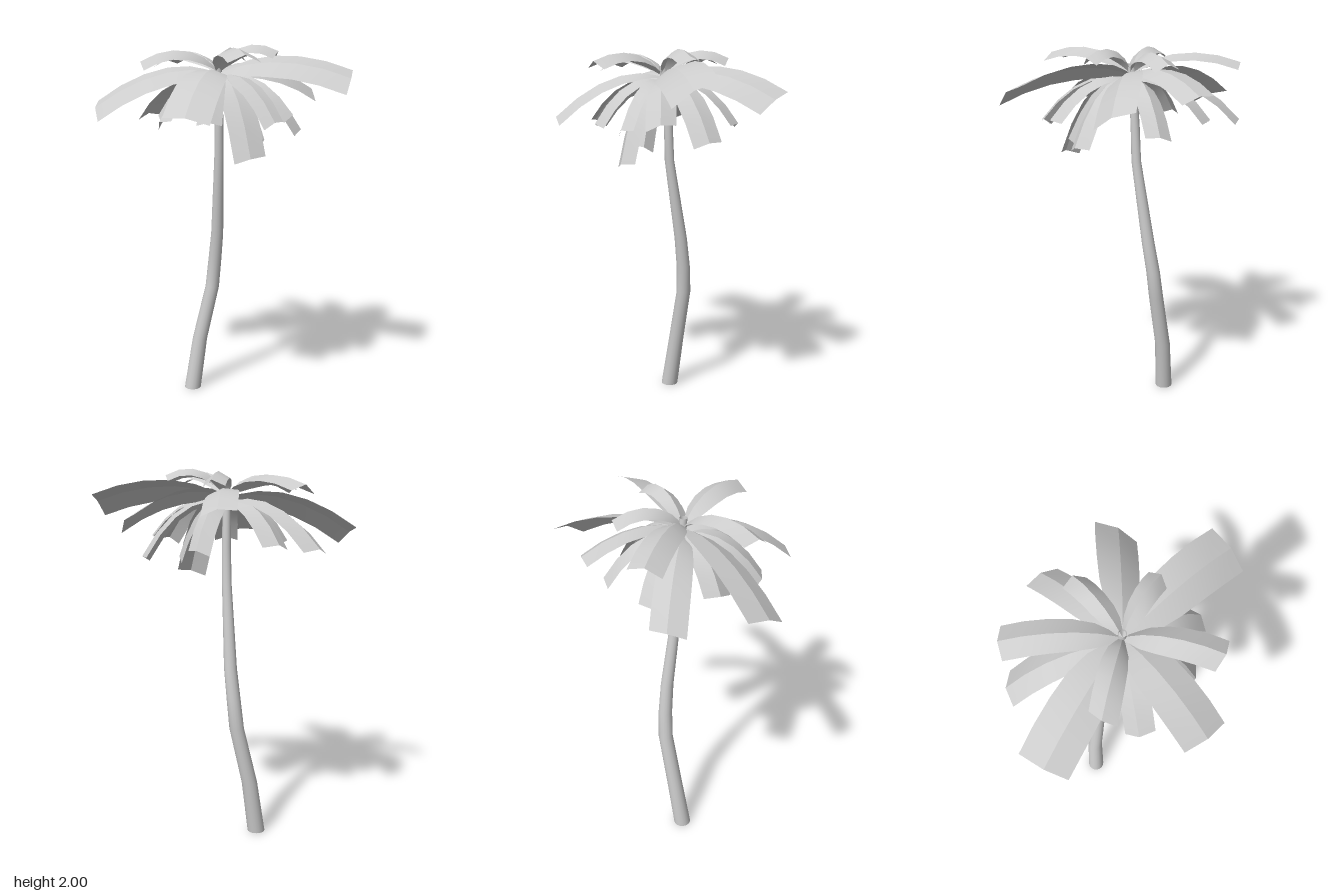
import * as THREE from 'three';

const V = (x, y, z) => new THREE.Vector3(x, y, z);

function meshGeometry(pos, idx) {
  const g = new THREE.BufferGeometry();
  g.setAttribute('position', new THREE.Float32BufferAttribute(pos, 3));
  g.setIndex(idx);
  g.computeVertexNormals();
  return g;
}

// Open tapered tube through horizontal rings [x, y, z, radius]
function trunkGeometry(rings, sides) {
  const pos = [], idx = [];
  rings.forEach(([x, y, z, r]) => {
    for (let i = 0; i < sides; i++) {
      const a = (i / sides) * Math.PI * 2;
      pos.push(x + r * Math.sin(a), y, z + r * Math.cos(a));
    }
  });
  for (let j = 0; j < rings.length - 1; j++) {
    for (let i = 0; i < sides; i++) {
      const a = j * sides + i, b = j * sides + (i + 1) % sides;
      idx.push(a, b, b + sides, a, b + sides, a + sides);
    }
  }
  return meshGeometry(pos, idx);
}

// Sections along a frond: [distance, share of full width]
const SECTIONS = [[0, 0.12], [0.1, 0.38], [0.22, 0.7], [0.4, 0.9], [0.6, 0.97], [0.8, 1], [1, 1]];

// Arching leaf: from the base to the edge between two tip corners, folded along its midrib
function frondGeometry(base, c1, c2, lift, reach, fold) {
  const tip = c1.clone().add(c2).multiplyScalar(0.5);
  const half = c2.clone().sub(c1).multiplyScalar(0.5);
  const ctrl = base.clone().lerp(tip, reach).setY(lift);
  const curve = new THREE.QuadraticBezierCurve3(base, ctrl, tip);
  const left = [], right = [], idx = [];
  // The two halves keep separate midrib vertices so the crease stays sharp
  SECTIONS.forEach(([t, share]) => {
    const p = curve.getPoint(t);
    const w = half.clone().multiplyScalar(share);
    const normal = half.clone().cross(curve.getTangent(t)).normalize();
    if (normal.y < 0) normal.negate();
    const mid = p.clone().addScaledVector(normal, fold * share);
    left.push(...p.clone().sub(w).toArray(), ...mid.toArray());
    right.push(...mid.toArray(), ...p.clone().add(w).toArray());
  });
  const n = SECTIONS.length;
  for (const start of [0, n * 2]) {
    for (let i = 0; i < n - 1; i++) {
      const a = start + i * 2;
      idx.push(a, a + 1, a + 3, a, a + 3, a + 2);
    }
  }
  // Keep the upper side as the front
  if (half.cross(tip.sub(base)).y < 0) idx.reverse();
  return meshGeometry([...left, ...right], idx);
}

export function createModel() {
  const model = new THREE.Group();
  model.name = 'palmTree';
  const grey = new THREE.MeshStandardMaterial({ color: 0xcccccc, side: THREE.DoubleSide });
  grey.name = 'paleGrey';

  // Leaning, bent trunk
  const trunk = new THREE.Mesh(trunkGeometry([
    [-0.185, 0, -0.125, 0.048], [-0.145, 0.3, -0.152, 0.043], [-0.073, 0.62, -0.17, 0.04],
    [-0.056, 0.78, -0.16, 0.038], [-0.038, 0.95, -0.137, 0.035], [-0.016, 1.4, -0.06, 0.026],
    [-0.014, 1.6, -0.052, 0.024], [-0.014, 1.91, -0.02, 0.02],
  ], 16), grey);
  trunk.name = 'trunk';
  model.add(trunk);

  // Tier: base height, arch reach, midrib fold, then fronds as two tip corners and arch height
  const tiers = {
    upperFrond: [1.86, 0.5, 0.04, [
      [[0.10, 1.91, 0.415], [0.26, 1.91, 0.375], 2.0],
      [[0.28, 1.93, 0.0], [0.29, 1.94, -0.115], 2.02],
      [[0.10, 1.91, -0.33], [-0.015, 1.92, -0.375], 2.01],
      [[-0.33, 1.90, -0.475], [-0.45, 1.88, -0.36], 1.99],
      [[-0.39, 1.89, 0.095], [-0.36, 1.87, 0.235], 2.0],
    ]],
    broadFrond: [1.85, 0.5, 0.025, [
      [[0.67, 1.75, 0.175], [0.70, 1.87, -0.05], 1.95],
      [[0.50, 1.69, -0.35], [0.41, 1.79, -0.545], 1.92],
      [[0.10, 1.78, -0.52], [-0.075, 1.81, -0.56], 1.94],
      [[-0.70, 1.70, -0.068], [-0.635, 1.60, 0.165], 1.89],
      [[-0.207, 1.65, 0.505], [0.035, 1.62, 0.557], 1.9],
    ]],
    lowerFrond: [1.82, 0.56, 0.035, [
      [[-0.40, 1.60, -0.41], [-0.525, 1.58, -0.28], 1.87],
      [[0.115, 1.40, 0.27], [0.27, 1.44, 0.225], 1.87],
      [[0.40, 1.52, -0.04], [0.40, 1.55, -0.19], 1.87],
      [[0.27, 1.58, 0.31], [0.36, 1.62, 0.26], 1.87],
      [[0.36, 1.61, 0.2], [0.39, 1.64, 0.05], 1.87],
      [[0.21, 1.53, 0.22], [0.24, 1.49, 0.12], 1.84],
      [[0.17, 1.60, -0.34], [0.06, 1.58, -0.41], 1.86],
      [[-0.2, 1.62, -0.365], [-0.33, 1.60, -0.27], 1.85],
      [[-0.31, 1.62, -0.07], [-0.31, 1.60, 0.08], 1.85],
      [[-0.29, 1.57, 0.22], [-0.2, 1.62, 0.33], 1.85],
      [[-0.07, 1.60, 0.33], [0.06, 1.60, 0.33], 1.86],
    ]],
  };
  for (const [name, [y, reach, fold, fronds]] of Object.entries(tiers)) {
    const tier = new THREE.Group();
    tier.name = name + 's';
    fronds.forEach(([a, b, lift], i) => {
      const geometry = frondGeometry(V(-0.014, y, -0.02), V(...a), V(...b), lift, reach, fold);
      const frond = new THREE.Mesh(geometry, grey);
      frond.name = name + (i + 1);
      tier.add(frond);
    });
    model.add(tier);
  }
  return model;
}
